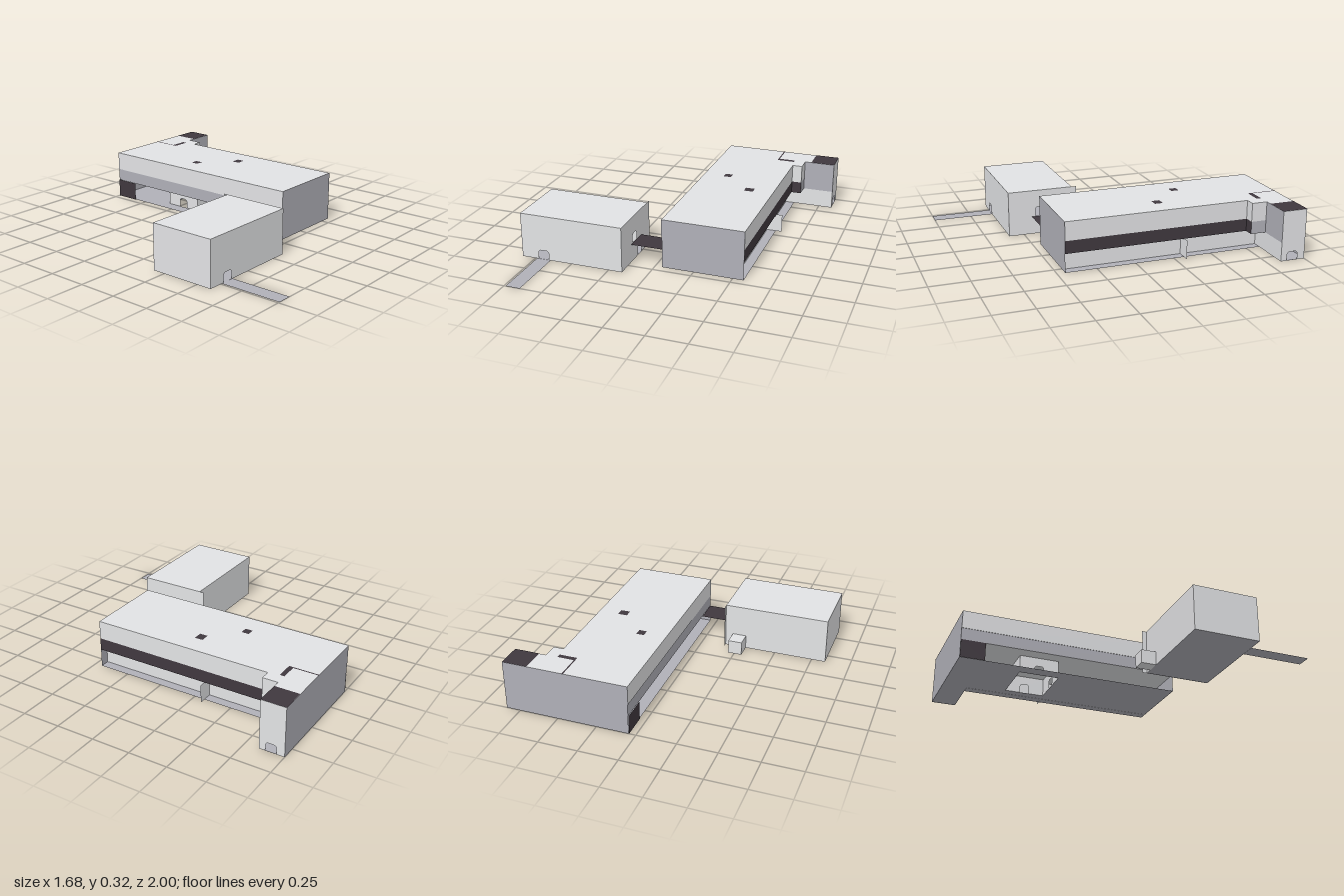
import * as THREE from 'three';

const mat = (name, color, side = THREE.DoubleSide) => {
  const m = new THREE.MeshStandardMaterial({ color, side });
  m.name = name;
  return m;
};

export function createModel() {
  const group = new THREE.Group();
  const light = mat('light grey', 0xe2e3e5);
  const mid = mat('mid grey', 0xb0b0b8);
  const dark = mat('charcoal', 0x40383f);

  const add = (name, geo, material) => {
    const m = new THREE.Mesh(geo, material);
    m.name = name;
    group.add(m);
    return m;
  };
  // Box from its extents; material may be a list ordered +x -x +y -y +z -z
  const box = (name, [x0, x1], [y0, y1], [z0, z1], material) =>
    add(name, new THREE.BoxGeometry(x1 - x0, y1 - y0, z1 - z0), material)
      .position.set((x0 + x1) / 2, (y0 + y1) / 2, (z0 + z1) / 2);
  const rect = (path, x0, x1, y0, y1) =>
    path.moveTo(x0, y0).lineTo(x1, y0).lineTo(x1, y1).lineTo(x0, y1).closePath();

  // Upright wall sheet with arched doorways [centre, sill, width, height]
  const wall = (name, width, height, doors, material, x, y, z, turn = 0) => {
    const s = new THREE.Shape();
    rect(s, -width / 2, width / 2, 0, height);
    for (const [c, sill, w, h] of doors) {
      const p = new THREE.Path(), r = w / 2, b = sill + 0.001, k = r * 0.6;
      p.moveTo(c - r, b);
      p.lineTo(c - r, b + h - k);
      p.quadraticCurveTo(c - r, b + h, c - r + k, b + h);
      p.lineTo(c + r - k, b + h);
      p.quadraticCurveTo(c + r, b + h, c + r, b + h - k);
      p.lineTo(c + r, b);
      p.closePath();
      s.holes.push(p);
    }
    const m = add(name, new THREE.ShapeGeometry(s, 5), material);
    m.position.set(x, y, z);
    m.rotation.y = turn;
  };
  const Q = Math.PI / 2;

  // Level sheet from its extents
  const sheet = (name, [x0, x1], y, [z0, z1], material) => {
    const m = add(name, new THREE.PlaneGeometry(x1 - x0, z1 - z0), material);
    m.rotation.x = -Q;
    m.position.set((x0 + x1) / 2, y, (z0 + z1) / 2);
  };

  // Small building
  wall('smallFrontWall', 0.68, 0.295, [[-0.19, 0, 0.07, 0.06]], light, -0.5, 0, 0.6);
  wall('smallBackWall', 0.68, 0.295, [], light, -0.5, 0, 0.17, Math.PI);
  wall('smallLeftWall', 0.46, 0.295, [[-0.02, 0.12, 0.06, 0.06], [0.06, 0, 0.06, 0.06]],
    light, -0.16, 0, 0.37, Q);
  wall('smallRightWall', 0.43, 0.295, [], light, -0.84, 0, 0.385, -Q);
  sheet('smallRoof', [-0.84, -0.16], 0.295, [0.17, 0.6], light);
  sheet('smallFloor', [-0.84, -0.16], 0.001, [0.17, 0.6], mid);
  box('annex', [-0.3, -0.21], [0, 0.09], [0.07, 0.17], light);
  sheet('path', [-0.74, -0.645], 0, [0.6, 1], mid);
  sheet('bridge', [-0.16, 0.045], 0.118, [0.28, 0.445], dark);

  // Large building floor with an opening under the inner room
  const floor = new THREE.Shape([[0.045, -0.45], [0.57, -0.45], [0.57, 0.84], [0.84, 0.84],
    [0.84, 1], [0.045, 1]].map(([x, y]) => new THREE.Vector2(x, y)));
  const opening = new THREE.Path();
  rect(opening, 0.13, 0.45, 0.33, 0.59);
  floor.holes.push(opening);
  const f = add('largeFloor', new THREE.ShapeGeometry(floor), mid);
  f.rotation.x = -Q;
  f.position.y = 0.001;

  // Ground level: end walls, recessed long wall and entrance corridor
  wall('groundFrontWall', 0.525, 0.12, [], mid, 0.3075, 0, 0.45);
  wall('groundBackWall', 0.795, 0.12, [], mid, 0.4425, 0, -1, Math.PI);
  wall('groundLeftWall', 1.29, 0.12, [], light, 0.51, 0, -0.195, Q);
  wall('corridorEnd', 0.16, 0.12, [], dark, 0.042, 0, -0.92, -Q);
  wall('corridorSide', 0.33, 0.12, [], light, 0.675, 0, -0.84);
  wall('entranceWall', 0.16, 0.12, [[-0.005, 0, 0.07, 0.055]], light, 0.84, 0, -0.92, Q);
  wall('outerFin', 0.1, 0.12, [], light, 0.56, 0, -0.318);

  // Inner room
  const arch = [[0, 0, 0.06, 0.06]];
  for (const z of [-0.59, -0.33]) wall('roomEndWall', 0.32, 0.118, arch, light, 0.29, 0, z);
  for (const x of [0.13, 0.45]) wall('roomSideWall', 0.26, 0.118, arch, light, x, 0, -0.46, Q);
  sheet('roomCeiling', [0.13, 0.45], 0.117, [-0.59, -0.33], light);

  // Middle level with the long dark window band
  const midY = [0.12, 0.2], topY = [0.2, 0.32];
  box('windowLevel', [0.045, 0.57], midY, [-1, 0.45], [dark, mid, light, light, mid, mid]);
  box('windowLevelStep', [0.57, 0.635], midY, [-1, -0.74], [mid, mid, light, light, dark, mid]);
  box('windowLevelWing', [0.635, 0.84], midY, [-1, -0.84], [light, mid, light, light, mid, mid]);

  // Top level
  box('topLevel', [0.042, 0.57], topY, [-1, 0.45], [light, light, light, light, mid, mid]);
  box('topLevelStep', [0.57, 0.635], topY, [-1, -0.74], [light, light, light, light, light, mid]);
  box('topLevelWing', [0.635, 0.84], topY, [-1, -0.84], [light, light, light, light, mid, mid]);

  // Roof markings
  const markY = 0.3208;
  sheet('roofPatch', [0.68, 0.84], markY, [-1, -0.84], dark);
  sheet('roofSlit', [0.443, 0.452], markY, [-1, -0.81], dark);
  sheet('roofBar', [0.452, 0.56], markY, [-0.84, -0.81], dark);
  sheet('roofVent', [0.18, 0.23], markY, [-0.425, -0.375], dark);
  sheet('roofVent', [0.38, 0.44], markY, [-0.225, -0.172], dark);
  return group;
}
